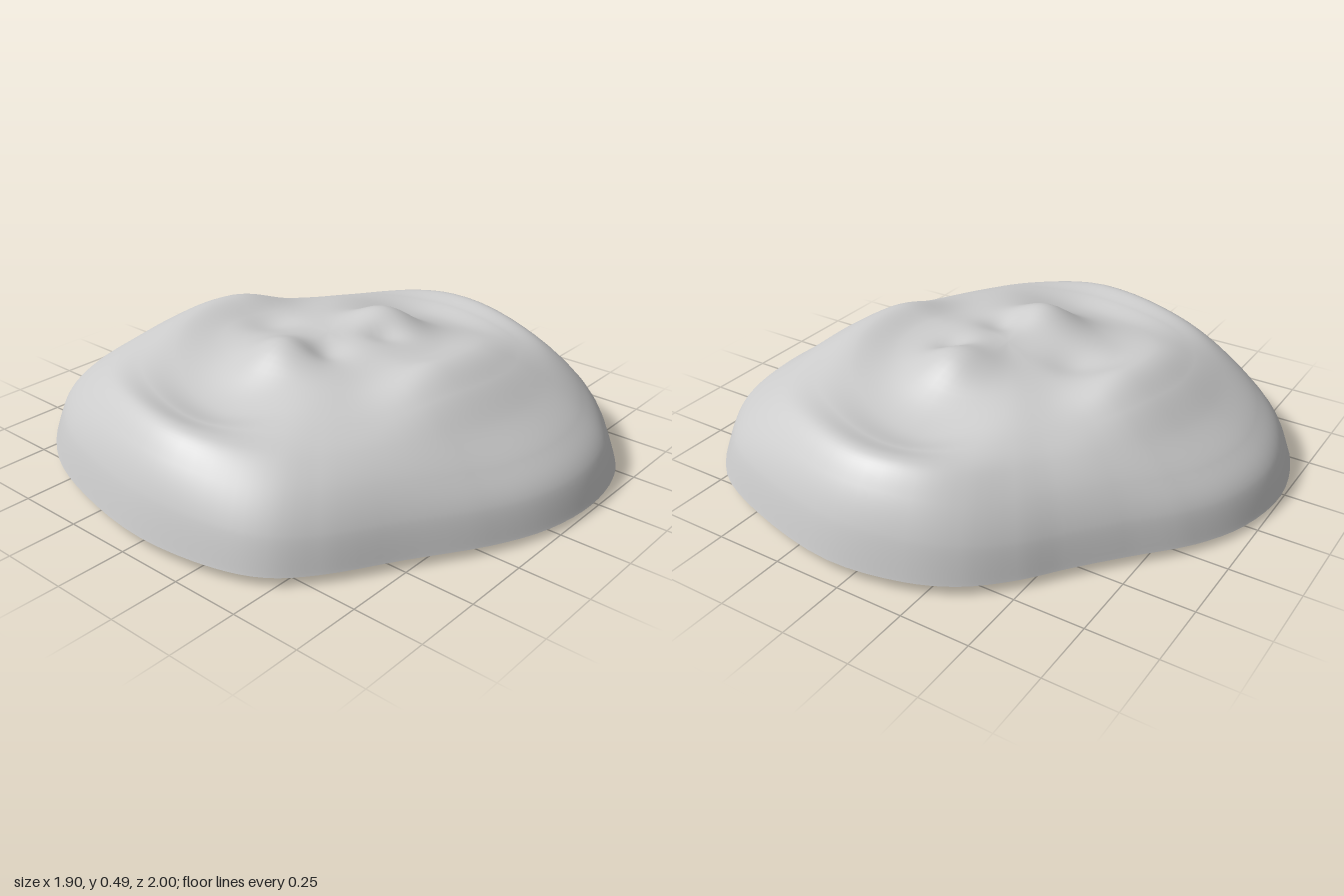
import * as THREE from 'three';
import { ParametricGeometry } from 'three/addons/geometries/ParametricGeometry.js';

// Rim outline (x, z), counter-clockwise seen from above
const rim = new THREE.CatmullRomCurve3([
  [0.947, 0.08], [0.905, -0.186], [0.825, -0.346], [0.7, -0.478], [0.566, -0.58],
  [0.407, -0.71], [0.217, -0.867], [0.03, -0.962], [-0.206, -1], [-0.44, -0.947],
  [-0.6, -0.846], [-0.79, -0.6], [-0.894, -0.32], [-0.95, 0.03], [-0.91, 0.32],
  [-0.84, 0.475], [-0.72, 0.588], [-0.49, 0.73], [-0.233, 0.885], [-0.02, 0.97],
  [0.2, 0.998], [0.4, 0.968], [0.534, 0.904], [0.746, 0.718], [0.868, 0.452],
].map(([x, z]) => new THREE.Vector3(x, 0, z)), true);

// Height profiles (fraction of radius, height): sides, front/back, and the two flattened corners
const spline = (pts) => new THREE.SplineCurve(pts.map(([s, y]) => new THREE.Vector2(s, y)));
const sideProfile = spline([[0, 0.435], [0.2, 0.43], [0.42, 0.38], [0.6, 0.345], [0.72, 0.36],
  [0.82, 0.373], [0.9, 0.3], [0.96, 0.19], [1, 0.045]]);
const frontProfile = spline([[0, 0.435], [0.2, 0.43], [0.36, 0.435], [0.5, 0.465], [0.62, 0.405],
  [0.74, 0.31], [0.86, 0.225], [0.95, 0.14], [1, 0.025]]);
const cornerProfile = spline([[0, 0.435], [0.2, 0.43], [0.4, 0.415], [0.55, 0.4], [0.67, 0.375],
  [0.78, 0.33], [0.88, 0.255], [0.955, 0.155], [1, 0.035]]);

// Knobs and hollows on the crown: x, z, height, radius
const lumps = [
  [0.25, 0.07, 0.07, 0.14], [-0.27, 0.0, 0.075, 0.14],
  [0, 0.14, 0.02, 0.15], [-0.02, -0.26, -0.025, 0.1],
  [-0.13, 0.1, -0.03, 0.08], [0.12, 0.16, -0.025, 0.07],
];

// Share of the sideways profile in the direction of a rim point
const sideShare = (p) => (p.x * p.x) / (p.x * p.x + p.z * p.z);

function crownPoint(u, v, target) {
  const p = rim.getPoint(v % 1);
  const t = Math.max(u, 0.001);
  const corner = Math.max(0, (-2 * p.x * p.z) / p.lengthSq()) ** 2;
  const q = frontProfile.getPoint(t).lerp(sideProfile.getPoint(t), sideShare(p))
    .lerp(cornerProfile.getPoint(t), corner);
  const x = p.x * q.x, z = p.z * q.x;
  let y = q.y;
  for (const [lx, lz, h, r] of lumps) y += h * Math.exp(-((x - lx) ** 2 + (z - lz) ** 2) / (r * r));
  target.set(x, y, z);
}

// Shallow underside that sags a little towards both sides
function basePoint(u, v, target) {
  const p = rim.getPoint(v % 1);
  const k = sideShare(p);
  const edge = 0.025 + 0.02 * k + 0.01 * Math.max(0, (-2 * p.x * p.z) / p.lengthSq()) ** 2 * (0.5 - k);
  const s = Math.max(1 - u, 0.001);
  const low = 0.02 - 0.016 * k;
  const y = s < 0.7 ? 0.02 - 0.016 * k * Math.sin((s / 0.7) * Math.PI / 2)
    : low + (edge - low) * ((s - 0.7) / 0.3);
  target.set(p.x * s, y, p.z * s);
}

export function createModel() {
  const group = new THREE.Group();
  group.name = 'rock';
  const material = new THREE.MeshStandardMaterial({ color: 0xcccccc });
  const add = (name, fn, slices) => {
    const mesh = new THREE.Mesh(new ParametricGeometry(fn, slices, 100), material);
    mesh.name = name;
    group.add(mesh);
  };
  add('crown', crownPoint, 64);
  add('underside', basePoint, 12);
  return group;
}
